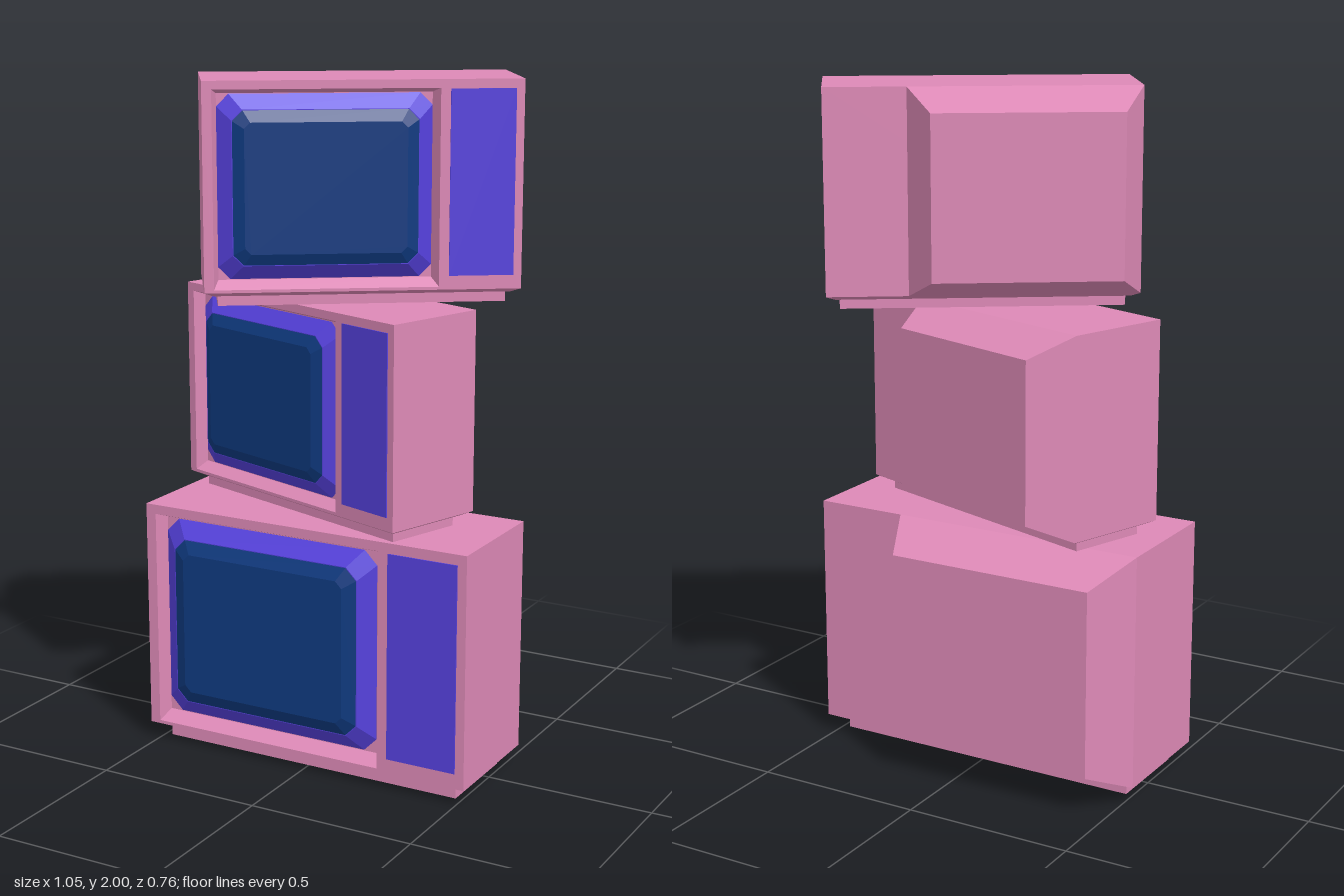
import * as THREE from 'three';

const make = (name, color) => {
  const m = new THREE.MeshStandardMaterial({ color });
  m.name = name;
  return m;
};

// Rectangle outline, counter-clockwise seen from +z, with optional cut corners
function ring(x0, x1, y0, y1, z, c = 0) {
  const pts = c
    ? [[x0 + c, y0], [x1 - c, y0], [x1, y0 + c], [x1, y1 - c], [x1 - c, y1], [x0 + c, y1], [x0, y1 - c], [x0, y0 + c]]
    : [[x0, y0], [x1, y0], [x1, y1], [x0, y1]];
  return pts.map(([x, y]) => [x, y, z]);
}

// Flat-faced skin through successive rings, closed at both ends
function loft(rings) {
  const pos = [];
  const tri = (a, b, c) => pos.push(...a, ...b, ...c);
  const n = rings[0].length;
  for (let r = 0; r < rings.length - 1; r++) {
    const a = rings[r], b = rings[r + 1];
    for (let i = 0; i < n; i++) {
      const j = (i + 1) % n;
      tri(a[i], a[j], b[j]);
      tri(a[i], b[j], b[i]);
    }
  }
  const first = rings[0], last = rings[rings.length - 1];
  for (let i = 1; i < n - 1; i++) {
    tri(first[0], first[i + 1], first[i]);
    tri(last[0], last[i], last[i + 1]);
  }
  const g = new THREE.BufferGeometry();
  g.setAttribute('position', new THREE.Float32BufferAttribute(pos, 3));
  g.computeVertexNormals();
  return g;
}

export function createModel() {
  const pink = make('pink casing', 0xdd89b6);
  const purple = make('purple trim', 0x5641de);
  const navy = make('navy glass', 0x0f3a80);

  // Casing with a sunken, sloped screen opening
  const casing = loft([
    ring(-0.525, 0.525, 0.05, 0.74, -0.15),
    ring(-0.525, 0.525, 0.05, 0.74, 0.225),
    ring(-0.493, 0.25, 0.06, 0.712, 0.225),
    ring(-0.477, 0.228, 0.088, 0.697, 0.185),
  ]);
  // Tapered tube housing, offset to one side of the back
  const backHousing = loft([
    ring(-0.45, 0.18, 0.12, 0.67, -0.3),
    ring(-0.525, 0.25, 0.05, 0.74, -0.15),
  ]);
  // Stepped foot, lofted downwards
  const foot = loft([
    ring(-0.525, 0.525, -0.15, 0.225, -0.05),
    ring(-0.495, 0.495, -0.12, 0.195, -0.035),
    ring(-0.48, 0.48, -0.1, 0.18, -0.035),
    ring(-0.48, 0.48, -0.1, 0.18, 0),
  ]).rotateX(Math.PI / 2);
  // Raised screen surround and bulging glass
  const bezel = loft([
    ring(-0.477, 0.228, 0.09, 0.695, 0.185, 0.04),
    ring(-0.43, 0.182, 0.138, 0.647, 0.222, 0.035),
  ]);
  const screen = loft([
    ring(-0.43, 0.182, 0.138, 0.647, 0.221, 0.035),
    ring(-0.39, 0.142, 0.178, 0.607, 0.24, 0.02),
  ]);
  const panel = new THREE.BoxGeometry(0.215, 0.613, 0.006).translate(0.39, 0.403, 0.226);

  const parts = [
    ['casing', casing, pink], ['backHousing', backHousing, pink], ['foot', foot, pink],
    ['bezel', bezel, purple], ['controlPanel', panel, purple], ['screen', screen, navy],
  ];

  // The stack: name, position, scale and turn of each set
  const stack = [
    ['bottomTelevision', 0, 0, 0, 1, 0],
    ['middleTelevision', -0.022, 0.755, -0.019, 0.838, -0.323],
    ['topTelevision', 0.043, 1.38, -0.031, 0.838, 0.6],
  ];
  const model = new THREE.Group();
  model.name = 'televisionStack';
  for (const [name, x, y, z, scale, turn] of stack) {
    const set = new THREE.Group();
    set.name = name;
    for (const [part, geometry, material] of parts) {
      const mesh = new THREE.Mesh(geometry, material);
      mesh.name = part;
      set.add(mesh);
    }
    set.position.set(x, y, z);
    set.scale.setScalar(scale);
    set.rotation.y = turn;
    model.add(set);
  }
  return model;
}
